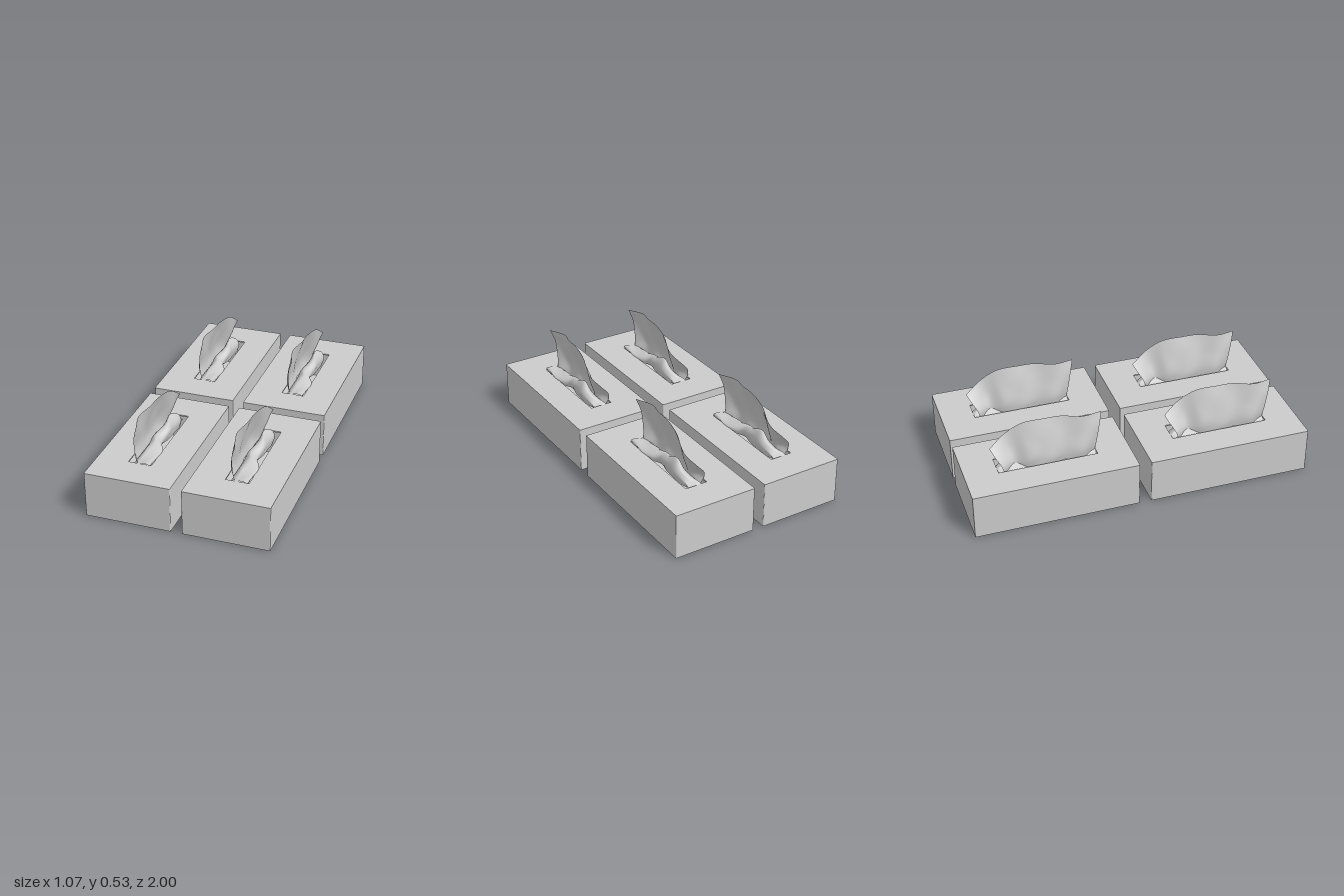
import * as THREE from 'three';

const card = new THREE.MeshStandardMaterial({ color: 0xcccccc });
const paper = new THREE.MeshStandardMaterial({ color: 0xcccccc, side: THREE.DoubleSide });

const W = 0.5, L = 0.965, H = 0.27, T = 0.008;

function named(geometry, material, name) {
  const mesh = new THREE.Mesh(geometry, material);
  mesh.name = name;
  return mesh;
}

// Rectangle with slightly rounded corners
function rect(w, l, r, Type = THREE.Shape) {
  const s = new Type();
  const x = w / 2, y = l / 2;
  s.moveTo(-x + r, -y);
  s.lineTo(x - r, -y).quadraticCurveTo(x, -y, x, -y + r);
  s.lineTo(x, y - r).quadraticCurveTo(x, y, x - r, y);
  s.lineTo(-x + r, y).quadraticCurveTo(-x, y, -x, y - r);
  s.lineTo(-x, -y + r).quadraticCurveTo(-x, -y, -x + r, -y);
  return s;
}

// Horizontal layer of card between two heights, optionally with an opening
function layer(y0, y1, hole, name) {
  const shape = rect(W, L, 0.005);
  if (hole) shape.holes.push(hole);
  const g = new THREE.ExtrudeGeometry(shape, { depth: y1 - y0, bevelEnabled: false, curveSegments: 3 });
  g.rotateX(-Math.PI / 2).translate(0, y0, 0);
  return named(g, card, name);
}

// Smooth surface through columns of control points [x, y, z], with small creases
function loft(columns, nu, nv, crease) {
  const v3 = p => new THREE.Vector3(...p);
  const rails = columns[0].map((_, j) => new THREE.CatmullRomCurve3(columns.map(c => v3(c[j])), false, 'centripetal'));
  const pos = [], index = [];
  for (let i = 0; i <= nu; i++) {
    const u = i / nu;
    const section = new THREE.CatmullRomCurve3(rails.map(r => r.getPoint(u)), false, 'centripetal');
    for (let j = 0; j <= nv; j++) {
      const v = j / nv, p = section.getPoint(v);
      const fade = Math.sin(Math.PI * v);
      p.x += crease * fade * Math.sin(u * 23 + v * 5);
      p.y += crease * fade * Math.sin(u * 17 - v * 7);
      pos.push(p.x, p.y, p.z);
      if (i < nu && j < nv) {
        const a = i * (nv + 1) + j, b = a + nv + 1;
        index.push(a, b, a + 1, b, b + 1, a + 1);
      }
    }
  }
  const g = new THREE.BufferGeometry();
  g.setAttribute('position', new THREE.Float32BufferAttribute(pos, 3));
  g.setIndex(index);
  g.computeVertexNormals();
  return g;
}

// Standing sheet: each column runs from inside the slot to the free top edge
const sheetColumns = [
  [[-0.01, 0.24, 0.28], [-0.025, 0.31, 0.295], [-0.02, 0.42, 0.315], [0.003, 0.507, 0.335]],
  [[-0.05, 0.24, 0.20], [-0.06, 0.31, 0.20], [-0.045, 0.42, 0.21], [-0.03, 0.52, 0.21]],
  [[-0.04, 0.24, 0.10], [-0.05, 0.31, 0.10], [-0.03, 0.42, 0.10], [-0.005, 0.532, 0.10]],
  [[-0.055, 0.24, 0.00], [-0.062, 0.31, 0.00], [-0.04, 0.42, 0.00], [0.0, 0.532, 0.00]],
  [[-0.045, 0.24, -0.10], [-0.05, 0.31, -0.10], [-0.01, 0.42, -0.12], [0.02, 0.515, -0.125]],
  [[-0.02, 0.24, -0.18], [-0.02, 0.30, -0.19], [0.015, 0.38, -0.21], [0.038, 0.45, -0.225]],
  [[-0.05, 0.24, -0.25], [-0.066, 0.29, -0.265], [-0.045, 0.35, -0.295], [0.0, 0.395, -0.32]],
];

// Crumpled fold lying beside the sheet: [z, ridge x, ridge y, outer x, outer y]
const foldColumns = [
  [0.29, 0.01, 0.272, 0.06, 0.268],
  [0.20, 0.02, 0.285, 0.064, 0.274],
  [0.10, 0.01, 0.295, 0.066, 0.276],
  [0.03, 0.0, 0.31, 0.035, 0.28],
  [-0.05, 0.02, 0.345, 0.05, 0.31],
  [-0.12, 0.025, 0.36, 0.055, 0.32],
  [-0.19, 0.03, 0.335, 0.06, 0.30],
  [-0.25, 0.01, 0.29, 0.045, 0.275],
  [-0.29, 0.0, 0.255, 0.03, 0.25],
].map(([z, rx, ry, ox, oy]) => [
  [-0.045, 0.25, z], [rx - 0.03, (ry + 0.27) / 2, z], [rx, ry, z], [ox, oy, z + 0.01], [ox - 0.012, 0.245, z],
]);

function createTissueBox() {
  const box = new THREE.Group();
  box.name = 'tissueBox';
  box.add(
    layer(0, T, null, 'floor'),
    layer(T, H - T, rect(W - 2 * T, L - 2 * T, 0.003, THREE.Path), 'walls'),
    layer(H - T, H, rect(0.135, 0.58, 0.003, THREE.Path), 'slottedTop'),
    named(loft(sheetColumns, 48, 16, 0.004), paper, 'standingSheet'),
    named(loft(foldColumns, 48, 16, 0.006), paper, 'crumpledFold'),
  );
  return box;
}

export function createModel() {
  const model = new THREE.Group();
  model.name = 'tissueBoxes';
  // Four identical boxes, two by two
  for (const x of [-0.2825, 0.2825]) {
    for (const z of [-0.5175, 0.5175]) {
      const box = createTissueBox();
      box.position.set(x, 0, z);
      model.add(box);
    }
  }
  return model;
}
